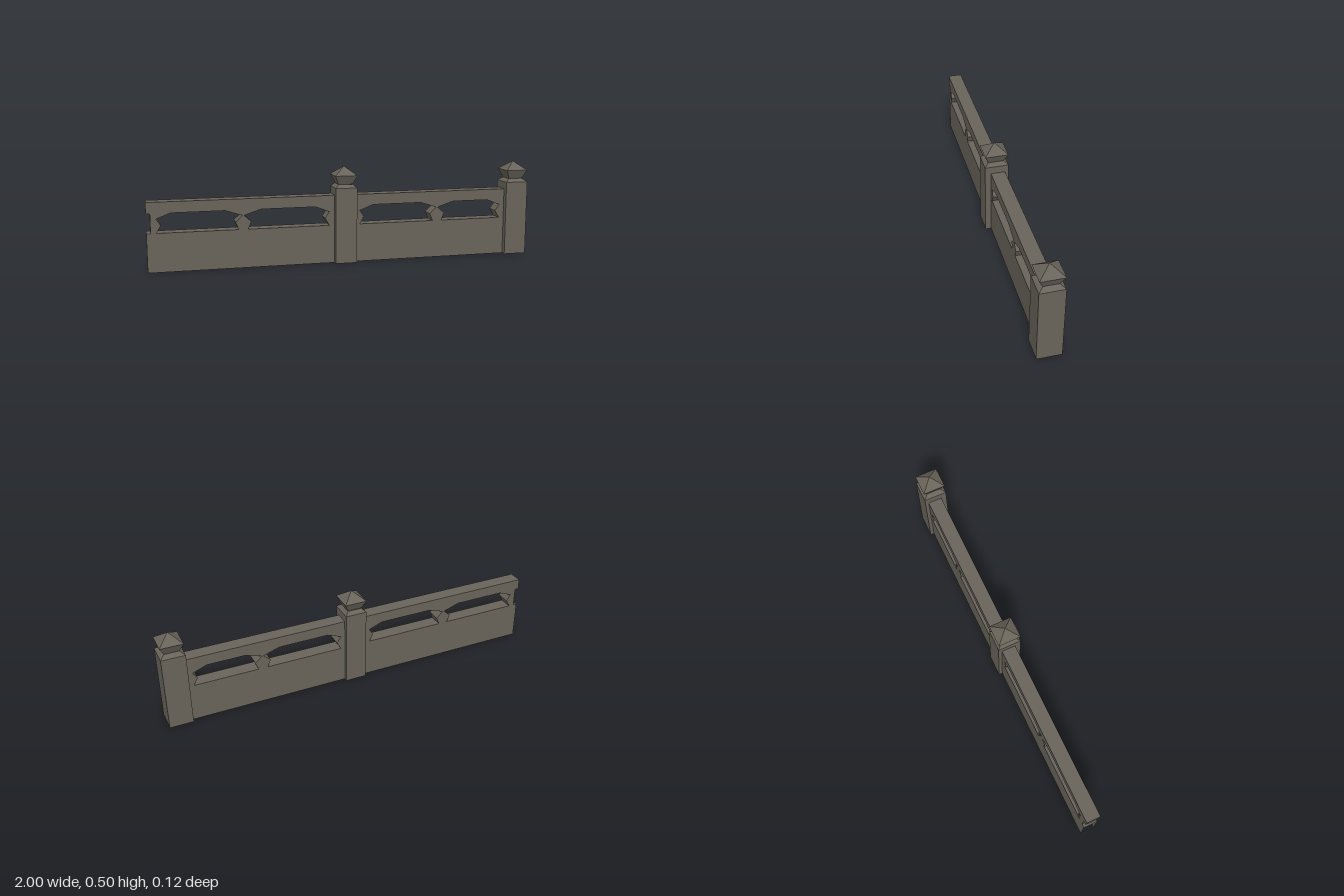
import * as THREE from 'three';

export function createModel() {
  const model = new THREE.Group();
  const stone = new THREE.MeshStandardMaterial({ color: 0x69645a, side: THREE.DoubleSide, flatShading: true });
  stone.name = 'dark stone';

  const zBack = -0.042, zFront = 0.031;
  const depth = zFront - zBack, zMid = (zFront + zBack) / 2;
  const wallTop = 0.197, railBottom = 0.296, railTop = 0.352;

  function add(name, geometry, x = 0, y = 0, z = 0, parent = model) {
    const mesh = new THREE.Mesh(geometry, stone);
    mesh.name = name;
    mesh.position.set(x, y, z);
    parent.add(mesh);
    return mesh;
  }

  // Square ring section with sides parallel to the axes, hollow unless it tapers shut
  function squareTube(topHalf, bottomHalf, height) {
    const r = Math.SQRT2;
    return new THREE.CylinderGeometry(topHalf * r, bottomHalf * r, height, 4, 1, true).rotateY(Math.PI / 4);
  }

  // Post with sloped shoulder, flared finial and pyramid tip; open underneath
  function addPost(name, x, half) {
    const post = new THREE.Group();
    post.name = name;
    post.position.x = x;
    const levels = [[0, half], [0.39, half], [0.407, 0.037], [0.453, 0.058], [0.498, 0]];
    const names = ['shaft', 'shoulder', 'finialFlare', 'finialTip'];
    names.forEach((part, i) => {
      const [y0, h0] = levels[i], [y1, h1] = levels[i + 1];
      const mesh = add(part, squareTube(h1, h0, y1 - y0), 0, (y0 + y1) / 2, 0, post);
      mesh.scale.z = i < 2 ? 0.061 / half : 1.03;
    });
    model.add(post);
  }
  addPost('middlePost', 0, 0.056);
  addPost('endPost', 0.94, 0.06);

  // Cut-out silhouette extruded through the wall thickness
  function addStrut(name, points, x) {
    const shape = new THREE.Shape(points.map(([px, py]) => new THREE.Vector2(px, py)));
    add(name, new THREE.ExtrudeGeometry(shape, { depth, bevelEnabled: false }), x, 0, zBack);
  }
  const bracketSide = [[0.024, wallTop], [0.04, 0.235], [0.004, 0.268], [0.09, railBottom]];
  const centreStrut = [...bracketSide, ...bracketSide.map(([x, y]) => [-x, y]).reverse()];
  const endSide = [[0.028, wallTop], [0.05, 0.235], [0.028, 0.268], [0.1, railBottom]];

  // One wall section: open plinth shell, rail, and three struts
  function addSection(name, wallL, wallR, strutL, strutMid, strutR) {
    const length = wallR - wallL, x = (wallL + wallR) / 2;
    for (const [side, z, turn] of [['Front', zFront, 0], ['Back', zBack, Math.PI]])
      add(name + 'Plinth' + side, new THREE.PlaneGeometry(length, wallTop).rotateY(turn), x, wallTop / 2, z);
    add(name + 'PlinthTop', new THREE.PlaneGeometry(length, depth).rotateX(-Math.PI / 2), x, wallTop, zMid);
    add(name + 'Rail', new THREE.BoxGeometry(length, railTop - railBottom, depth), x, (railTop + railBottom) / 2, zMid);

    addStrut(name + 'CentreStrut', centreStrut, strutMid);
    for (const [side, sx, s] of [['Near', strutL, 1], ['Far', strutR, -1]]) {
      const outline = [[0, wallTop], ...endSide, [0, railBottom]].map(([px, py]) => [px * s, py]);
      addStrut(name + side + 'Strut', outline, sx);
    }
  }
  addSection('rightSection', -1, -0.05, -0.98, -0.525, -0.056);
  addSection('leftSection', 0.05, 0.89, 0.05, 0.5, 0.882);

  return model;
}
